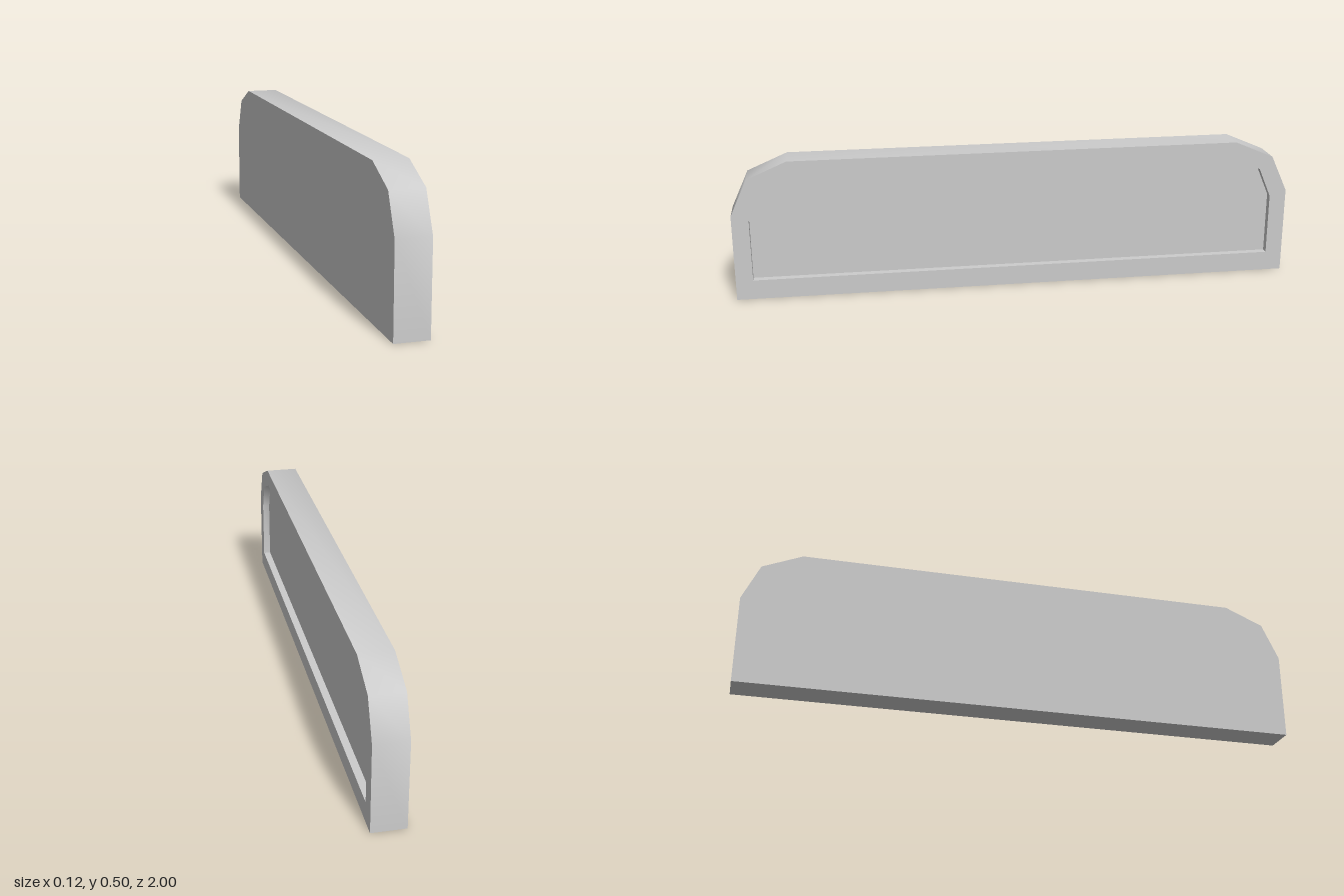
import * as THREE from 'three';
import { toCreasedNormals } from 'three/addons/utils/BufferGeometryUtils.js';

const HALF = 0.058;          // half thickness
const FLOOR = HALF - 0.026;  // level of the recessed panel

// Counter-clockwise outline from its right half, mirrored to the left
function outline(half) {
  const mirrored = half.map(([x, y]) => [-x, y]).reverse();
  return [...half, ...mirrored].map(([x, y]) => new THREE.Vector2(x, y));
}

// Band of quads along a closed outline, soft at the chamfers, sharp at the base
function band(points, from, to) {
  const pos = [];
  points.forEach((p, i) => {
    const q = points[(i + 1) % points.length];
    pos.push(p.x, p.y, from, q.x, q.y, from, q.x, q.y, to);
    pos.push(p.x, p.y, from, q.x, q.y, to, p.x, p.y, to);
  });
  const geo = new THREE.BufferGeometry();
  geo.setAttribute('position', new THREE.Float32BufferAttribute(pos, 3));
  return toCreasedNormals(geo, Math.PI / 3);
}

export function createModel() {
  const model = new THREE.Group();
  model.name = 'recessedPanel';
  const grey = new THREE.MeshStandardMaterial({ color: 0xcccccc });
  grey.name = 'light grey';

  const outer = outline([[1, 0], [1, 0.31], [0.94, 0.44], [0.8, 0.5]]);
  const inner = outline([[0.94, 0.07], [0.94, 0.29], [0.895, 0.395], [0.785, 0.44]]);

  const add = (name, geo) => {
    geo.rotateY(Math.PI / 2); // drawn in xy, faced towards +x
    const mesh = new THREE.Mesh(geo, grey);
    mesh.name = name;
    model.add(mesh);
  };

  // Outer edge and the walls of the recess
  add('outerEdge', band(outer, -HALF, HALF));
  add('recessWall', band(inner, HALF, FLOOR));

  // Raised border around the recess
  const border = new THREE.Shape(outer);
  border.holes.push(new THREE.Path(inner));
  add('border', new THREE.ShapeGeometry(border).translate(0, 0, HALF));

  // Recessed panel and plain back face
  add('recessFloor', new THREE.ShapeGeometry(new THREE.Shape(inner)).translate(0, 0, FLOOR));
  add('backFace', new THREE.ShapeGeometry(new THREE.Shape(outer)).rotateY(Math.PI).translate(0, 0, -HALF));

  return model;
}
